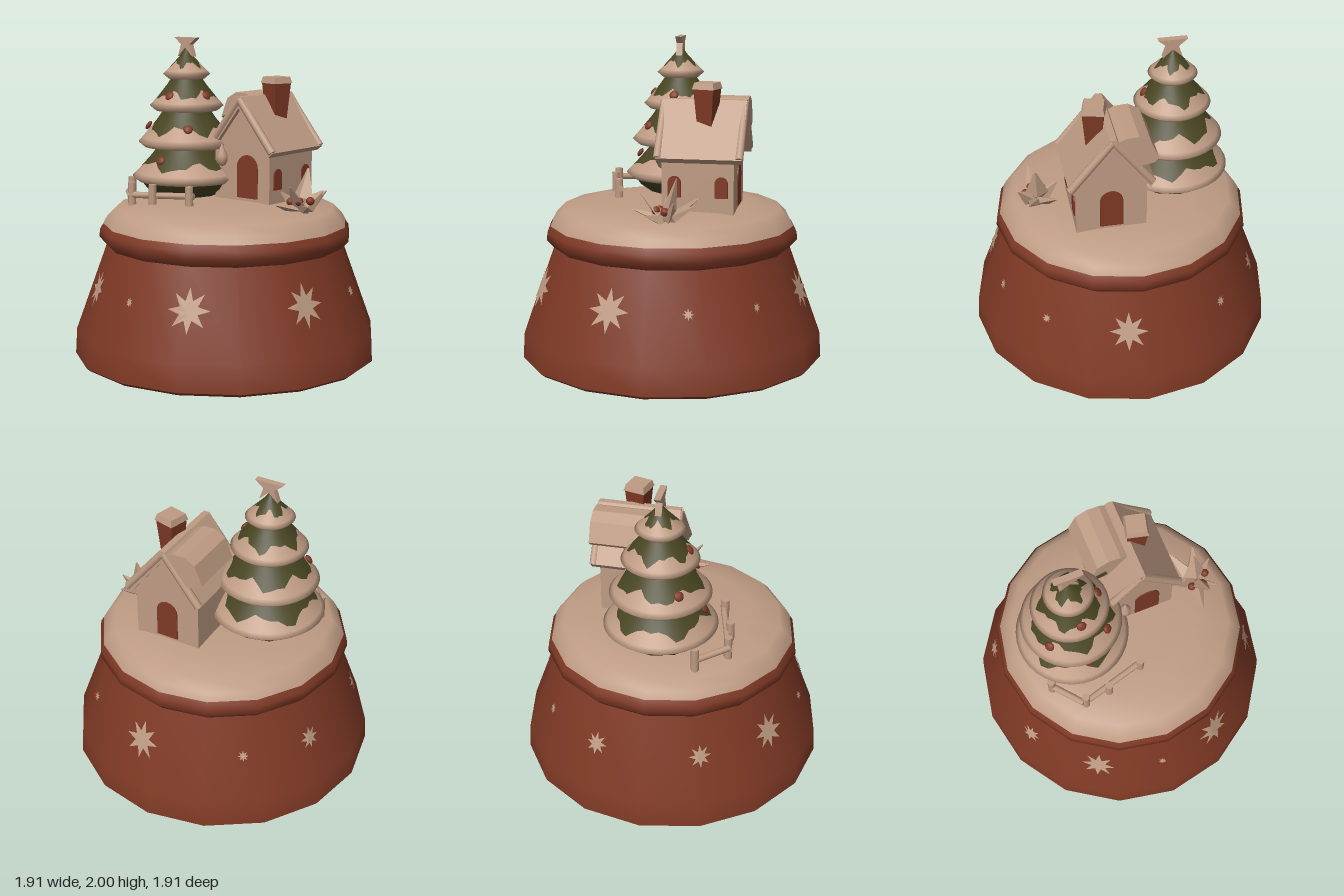
import * as THREE from 'three';

const red = new THREE.MeshStandardMaterial({ color: 0x7f3925 });
red.name = 'brick red';
const snow = new THREE.MeshStandardMaterial({ color: 0xbf9c84 });
snow.name = 'warm snow';
const green = new THREE.MeshStandardMaterial({ color: 0x484522 });
green.name = 'pine green';

function add(parent, name, geo, mat, x = 0, y = 0, z = 0) {
  const m = new THREE.Mesh(geo, mat);
  m.name = name;
  m.position.set(x, y, z);
  parent.add(m);
  return m;
}

// Ring surface from top to bottom; each row is [radius, y] or a function of angle
function band(rows, n) {
  const pos = [], idx = [];
  rows.forEach((row, i) => {
    for (let j = 0; j < n; j++) {
      const a = (j / n) * Math.PI * 2;
      const [r, y] = typeof row === 'function' ? row(a) : row;
      pos.push(r * Math.sin(a), y, r * Math.cos(a));
      if (i === rows.length - 1) continue;
      const k = (j + 1) % n, t = i * n, b = t + n;
      idx.push(t + j, b + j, b + k, t + j, b + k, t + k);
    }
  });
  const g = new THREE.BufferGeometry();
  g.setAttribute('position', new THREE.Float32BufferAttribute(pos, 3));
  g.setIndex(idx);
  g.computeVertexNormals();
  return g;
}

function extrude(points, depth) {
  const s = new THREE.Shape(points.map(p => new THREE.Vector2(p[0], p[1])));
  return new THREE.ExtrudeGeometry(s, { depth, bevelEnabled: false });
}

// Round bar between two points
function bar(parent, name, a, b, r, mat) {
  const A = new THREE.Vector3(...a), B = new THREE.Vector3(...b);
  const d = B.clone().sub(A);
  const m = add(parent, name, new THREE.CylinderGeometry(r, r, d.length(), 8), mat);
  m.position.copy(A).add(B).multiplyScalar(0.5);
  m.quaternion.setFromUnitVectors(new THREE.Vector3(0, 1, 0), d.normalize());
  return m;
}

// Thin arched plate for doors and windows, standing on y = 0
function arch(w, h) {
  const s = new THREE.Shape();
  s.moveTo(-w / 2, 0);
  s.lineTo(w / 2, 0);
  s.lineTo(w / 2, h - w / 2);
  s.absarc(0, h - w / 2, w / 2, 0, Math.PI);
  return new THREE.ExtrudeGeometry(s, { depth: 0.008, bevelEnabled: false, curveSegments: 8 });
}

const SIDES = 16;
// Radius of the faceted base wall at a given height and angle
function wallRadius(y, a) {
  const r = 0.945 + (0.75 - 0.945) * (y - 0.18) / 0.54;
  const step = Math.PI * 2 / SIDES;
  const off = ((a % step) + step) % step - step / 2;
  return r * Math.cos(step / 2) / Math.cos(off);
}

// Painted snowflake that follows the base wall
function flake(angle, y0, size) {
  const g = new THREE.RingGeometry(0.001, 1, 16, 6);
  const p = g.attributes.position;
  for (let i = 0; i < p.count; i++) {
    const k = size * ((i % 17) % 2 ? 0.45 : 1);
    const y = y0 + p.getY(i) * k;
    const a = angle + p.getX(i) * k / 0.84;
    const r = wallRadius(y, a) + 0.008;
    p.setXYZ(i, r * Math.sin(a), y, r * Math.cos(a));
  }
  g.computeVertexNormals();
  return g;
}

function makeBase() {
  const base = new THREE.Group();
  base.name = 'base';
  add(base, 'baseWall', band([[0.75, 0.72], [0.945, 0.18], [0.955, 0.02]], SIDES), red);
  add(base, 'baseBottom', band([[0.955, 0.02], [0.93, 0], [0, 0]], SIDES), red);
  add(base, 'baseRim', band([[0.765, 0.86], [0.79, 0.82], [0.795, 0.77], [0.75, 0.72]], SIDES), red);
  add(base, 'snowMound', band([[0, 1.0], [0.25, 1.0], [0.5, 0.99], [0.69, 0.955],
    [0.745, 0.9], [0.77, 0.855]], SIDES), snow);
  const flakes = [[25, 0.13], [-32, 0.11], [74, 0.13], [173, 0.12], [249, 0.07], [294, 0.07],
    [-3, 0.03], [107, 0.035], [137, 0.03], [218, 0.035]];
  for (const [deg, size] of flakes)
    add(base, 'snowflake', flake(THREE.MathUtils.degToRad(deg), 0.48, size), snow);
  return base;
}

function makeTree() {
  const tree = new THREE.Group();
  tree.name = 'tree';
  tree.position.set(-0.32, 0, 0);
  // bottom y, bottom radius, top y, top radius
  const tiers = [[1.1, 0.35, 1.33, 0.17], [1.32, 0.31, 1.57, 0.13],
    [1.55, 0.235, 1.77, 0.08], [1.75, 0.15, 1.94, 0]];
  tiers.forEach(([yb, rb, yt, rt], i) => {
    const at = t => [rt + (rb - rt) * Math.pow(t, 1.15), yt + (yb + 0.02 - yt) * t];
    const edge = a => at(0.64 + 0.11 * Math.sin(5 * a + i * 2) + 0.06 * Math.sin(11 * a + i));
    add(tree, 'needles', band([at(0), at(0.35), edge], 36), green);
    add(tree, 'tierSnow', band([edge, at(0.88), at(1), [rb - 0.035, yb - 0.01]], 36), snow);
    add(tree, 'tierUnderside', band([[rb - 0.035, yb - 0.01], [rb * 0.4, yb + 0.02]], 36), green);
  });
  add(tree, 'lowerBranches', band([[0.3, 1.09], [0.27, 1.05], [0.17, 0.98]], 12), green);

  // Round ornaments lying on the tier slopes: angle, height, radius
  const baubles = [[0.05, 1.64, 0.175], [0.75, 1.44, 0.245], [0.05, 1.24, 0.265], [1.5, 1.64, 0.175],
    [1.7, 1.24, 0.265], [-0.9, 1.44, 0.245]];
  for (const [a, y, r] of baubles) {
    const b = add(tree, 'bauble', new THREE.SphereGeometry(0.03, 10, 8), red, r * Math.sin(a), y, r * Math.cos(a));
    b.rotation.set(-0.6, a, 0, 'YXZ');
    b.scale.z = 0.5;
  }
  const star = [[-0.09, 2], [-0.035, 1.955], [-0.06, 1.88], [0, 1.935], [0.06, 1.88], [0.035, 1.955], [0.09, 2]];
  add(tree, 'treeStar', extrude(star, 0.04), snow, 0.005, 0, -0.02);
  return tree;
}

function makeHouse() {
  const house = new THREE.Group();
  house.name = 'house';
  add(house, 'walls', extrude([[-0.08, 0.97], [0.35, 0.97], [0.35, 1.33], [0.13, 1.6], [-0.08, 1.33]], 0.44),
    snow, 0, 0, -0.44);
  add(house, 'roof', extrude([[-0.12, 1.335], [-0.09, 1.3], [0.13, 1.58], [0.36, 1.29], [0.395, 1.32],
    [0.15, 1.65], [0.11, 1.65]], 0.52), snow, 0, 0, -0.49);
  // Rolled snow along both gables
  for (const z of [0.02, -0.475]) {
    bar(house, 'gableRoll', [0.13, 1.635, z], [0.385, 1.32, z], 0.025, snow);
    bar(house, 'gableRoll', [0.13, 1.635, z], [-0.105, 1.33, z], 0.025, snow);
  }
  // Lifted snow drift on the rear right slope
  add(house, 'roofDrift', extrude([[0.13, 1.62], [0.06, 1.655], [-0.02, 1.66], [-0.09, 1.62], [-0.14, 1.5],
    [-0.11, 1.47], [0.02, 1.45]], 0.36), snow, 0, 0, -0.49);
  add(house, 'driftTrim', extrude([[-0.13, 1.5], [-0.1, 1.475], [-0.03, 1.5], [-0.04, 1.535], [-0.09, 1.52]], 0.006),
    green, 0, 0, -0.13);

  // Doors and windows
  add(house, 'frontDoor', arch(0.16, 0.27), red, 0.18, 1.02, 0);
  add(house, 'backDoor', arch(0.14, 0.25), red, 0.135, 1.01, -0.44).rotation.y = Math.PI;
  for (const [z, w] of [[-0.365, 0.08], [-0.08, 0.08]])
    add(house, 'sideWindow', arch(w, 0.13), red, 0.35, 1.08, z).rotation.y = Math.PI / 2;

  // Flared chimney with a snow cap
  const chimney = new THREE.Group();
  chimney.name = 'chimney';
  chimney.position.set(0.205, 0, -0.255);
  chimney.rotation.y = -0.25;
  const stack = new THREE.CylinderGeometry(0.092, 0.065, 0.24, 4).rotateY(Math.PI / 4).toNonIndexed();
  stack.computeVertexNormals();
  add(chimney, 'chimneyStack', stack, red, 0, 1.61, 0);
  const cap = new THREE.CylinderGeometry(0.085, 0.1, 0.04, 4).rotateY(Math.PI / 4).toNonIndexed();
  cap.computeVertexNormals();
  add(chimney, 'chimneySnow', cap, snow, 0, 1.742, 0);
  house.add(chimney);

  // Hanging lantern beside the door
  add(house, 'lantern', band([[0, 1.36], [0.012, 1.33], [0.035, 1.28], [0.035, 1.25], [0.02, 1.22], [0, 1.21]], 8),
    snow, 0.015, 0, 0.05);
  return house;
}

function makeFence() {
  const fence = new THREE.Group();
  fence.name = 'fence';
  const posts = [[-0.56, 0.26], [-0.4, 0.43], [-0.24, 0.415], [-0.005, 0.34]];
  for (const [x, z] of posts) bar(fence, 'fencePost', [x, 0.95, z], [x, 1.115, z], 0.025, snow);
  const line = [[-0.57, 0.25], [-0.42, 0.44], [0.02, 0.325]];
  for (let i = 0; i < 2; i++) {
    const [a, b] = [line[i], line[i + 1]];
    bar(fence, 'fenceRail', [a[0], 1.035, a[1]], [b[0], 1.055, b[1]], 0.02, snow);
  }
  return fence;
}

function makeBush() {
  const bush = new THREE.Group();
  bush.name = 'snowyBush';
  bush.position.set(0.54, 0.97, -0.07);
  // Leaf tips relative to the middle, and leaf width
  const leaves = [[0.01, 0.26, -0.06, 0.075], [-0.13, 0.11, 0.03, 0.055], [0.12, 0.13, -0.06, 0.06],
    [0.03, 0.17, 0.15, 0.06], [-0.1, 0.13, -0.18, 0.055], [0.12, 0.05, 0.1, 0.05],
    [-0.03, 0.06, 0.21, 0.05], [0.06, 0.11, -0.18, 0.055]];
  leaves.forEach(([x, y, z, w], i) => {
    const d = new THREE.Vector3(x, y, z), h = d.length();
    const g = new THREE.CylinderGeometry(0.006, w, h * 0.7, 4).translate(0, h * 0.65, 0);
    const stem = new THREE.CylinderGeometry(w, 0.01, h * 0.3, 4).translate(0, h * 0.15, 0);
    const leaf = new THREE.Group();
    leaf.name = 'leaf';
    for (const part of [g, stem]) {
      part.rotateY(i).scale(1, 1, 0.55);
      const flat = part.toNonIndexed();
      flat.computeVertexNormals();
      add(leaf, 'leafBlade', flat, snow);
    }
    leaf.quaternion.setFromUnitVectors(new THREE.Vector3(0, 1, 0), d.normalize());
    bush.add(leaf);
  });
  for (const [x, y, z] of [[0.03, 0.07, 0.06], [-0.04, 0.06, 0.05], [0.07, 0.07, 0]])
    add(bush, 'berry', new THREE.SphereGeometry(0.026, 10, 8), red, x, y, z);
  return bush;
}

export function createModel() {
  const model = new THREE.Group();
  model.name = 'winterScene';
  model.add(makeBase(), makeTree(), makeHouse(), makeFence(), makeBush());
  return model;
}
